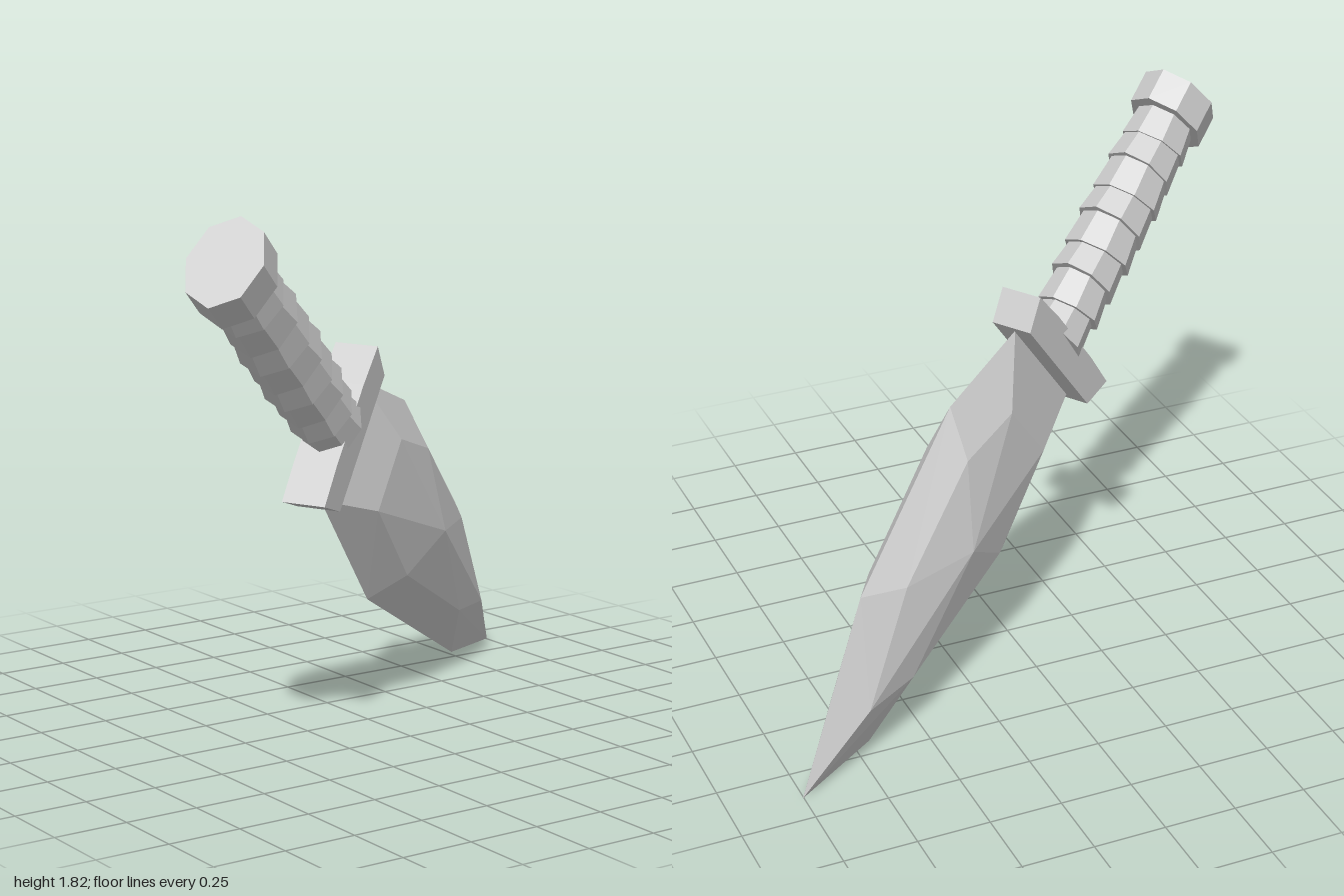
import * as THREE from 'three';

const material = new THREE.MeshStandardMaterial({ color: 0xcccccc, flatShading: true });

function addPart(parent, name, geometry) {
  const mesh = new THREE.Mesh(geometry, material);
  mesh.name = name;
  parent.add(mesh);
  return mesh;
}

// Eight-sided section along the dagger's x axis, wider in y than in z
function octagon(x0, x1, r0, r1, wide, thin) {
  const g = new THREE.CylinderGeometry(r1, r0, x1 - x0, 8);
  g.rotateZ(-Math.PI / 2);
  g.scale(1, wide, thin);
  g.translate((x0 + x1) / 2, 0, 0);
  return g;
}

// Faceted leaf blade: outline points lie on the mid plane, inner points are raised
function bladeGeometry() {
  const p = {
    A: [0.08, 0.232, 0], E1: [0.447, 0.364, 0], E2: [1.137, 0.311, 0], T: [1.77, 0.07, 0],
    F2: [1.482, -0.124, 0], F1: [0.65, -0.315, 0], B: [0.08, -0.232, 0],
    U1: [0.335, 0.155, 0.09], U2: [0.57, 0.25, 0.085], U3: [1.03, 0.217, 0.08], U4: [1.425, 0.075, 0.08],
    L3: [1.242, -0.055, 0.085], L2: [0.714, -0.177, 0.088], L1: [0.335, -0.125, 0.09],
    P: [0.8, 0.05, 0.138],
  };
  const faces = ['A B L1 U1', 'A U1 E1', 'E1 U1 U2', 'E1 U2 U3 E2', 'E2 U3 U4 T',
    'T U4 L3 F2', 'F2 L3 L2 F1', 'F1 L2 L1 B'].map((f) => f.split(' '));
  const ring = ['U1', 'U2', 'U3', 'U4', 'L3', 'L2', 'L1'];
  ring.forEach((k, i) => faces.push([k, 'P', ring[(i + 1) % ring.length]]));

  const out = [];
  for (const side of [1, -1]) {
    for (const f of faces) {
      for (let i = 1; i < f.length - 1; i++) {
        const tri = side > 0 ? [f[0], f[i], f[i + 1]] : [f[0], f[i + 1], f[i]];
        for (const k of tri) out.push(p[k][0], p[k][1], p[k][2] * side);
      }
    }
  }
  const g = new THREE.BufferGeometry();
  g.setAttribute('position', new THREE.Float32BufferAttribute(out, 3));
  g.computeVertexNormals();
  return g;
}

// Crossguard: bar with slanted ends
function guardGeometry() {
  const outline = [[0.085, -0.26], [0.085, 0.26], [-0.03, 0.305], [-0.04, 0.15], [-0.04, -0.15], [-0.03, -0.305]];
  const shape = new THREE.Shape(outline.map(([x, y]) => new THREE.Vector2(x, y)));
  const g = new THREE.ExtrudeGeometry(shape, { depth: 0.155, bevelEnabled: false });
  g.translate(0, 0, -0.0775);
  return g;
}

export function createModel() {
  const model = new THREE.Group();
  model.name = 'dagger';

  // Dagger frame: x to the tip, y across the blade, z through its thickness
  const dagger = new THREE.Group();
  dagger.name = 'daggerBody';
  const along = new THREE.Vector3(0.664, -0.627, -0.407).normalize();
  const across = new THREE.Vector3(0.56, 0.77, -0.3);
  across.addScaledVector(along, -across.dot(along)).normalize();
  const through = new THREE.Vector3().crossVectors(along, across);
  dagger.quaternion.setFromRotationMatrix(new THREE.Matrix4().makeBasis(along, across, through));
  dagger.position.set(-0.21, 1.06, 0.1);
  model.add(dagger);

  addPart(dagger, 'blade', bladeGeometry());
  addPart(dagger, 'guard', guardGeometry());
  addPart(dagger, 'pommel', octagon(-1.02, -0.9, 0.15, 0.15, 1.1, 0.88));

  // Grip wrapping: overlapping flared bands, slimmer towards the guard
  const grip = new THREE.Group();
  grip.name = 'grip';
  dagger.add(grip);
  const bands = 8, start = -0.92, step = 0.9 / bands;
  for (let i = 0; i < bands; i++) {
    const t = i / (bands - 1);
    const r = 0.118 + 0.012 * Math.sin(Math.PI * t) - 0.012 * t;
    const x = start + i * step;
    const band = addPart(grip, 'gripBand', octagon(-step / 2, step / 2 + 0.012, r - 0.008, r + 0.008, 1.06, 0.92));
    band.position.x = x + step / 2;
    band.rotation.z = i % 2 ? 0.06 : -0.06;
  }
  return model;
}
